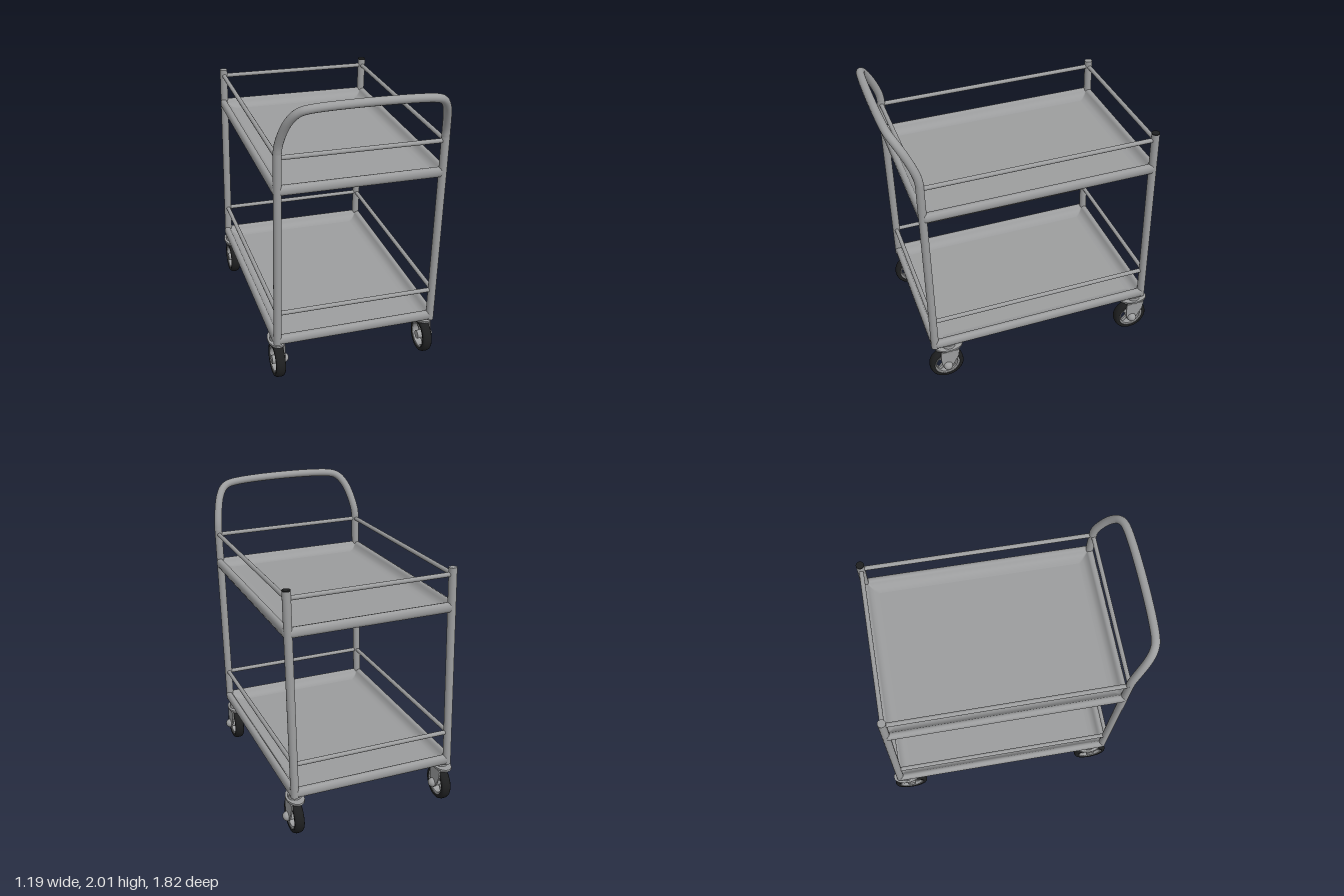
import * as THREE from 'three';

const mat = (name, color, side = THREE.FrontSide) => {
  const m = new THREE.MeshStandardMaterial({ color, side });
  m.name = name;
  return m;
};

export function createModel() {
  const steel = mat('brushed steel', 0x9c9d9e);
  const rubber = mat('black rubber', 0x1e1f20);
  const tan = mat('tan underside', 0x9a8560, THREE.DoubleSide);

  const HX = 0.572, HZ = 0.8;      // half size of a shelf
  const PX = 0.54, PZ = 0.775;     // post centres
  const TOP = 1.085;               // height of upper shelf over lower one
  const cart = new THREE.Group();
  cart.name = 'cart';

  const add = (parent, name, geo, material, x = 0, y = 0, z = 0) => {
    const m = new THREE.Mesh(geo, material);
    m.name = name;
    m.position.set(x, y, z);
    parent.add(m);
    return m;
  };

  // straight round bar between two points
  const bar = (parent, name, a, b, r, sides = 16) => {
    const from = new THREE.Vector3(...a), dir = new THREE.Vector3(...b).sub(from);
    const m = add(parent, name, new THREE.CylinderGeometry(r, r, dir.length(), sides), steel);
    m.position.copy(from).addScaledVector(dir, 0.5);
    m.quaternion.setFromUnitVectors(new THREE.Vector3(0, 1, 0), dir.normalize());
    return m;
  };

  // rounded rectangle outline at a given inset
  const outline = (inset, y) => {
    const pts = [], r = Math.max(0.045 - inset, 0.008);
    const cx = HX - inset - r, cz = HZ - inset - r;
    [[1, 1], [-1, 1], [-1, -1], [1, -1]].forEach(([sx, sz], q) => {
      for (let i = 0; i <= 6; i++) {
        const t = (q + i / 6) * Math.PI / 2;
        pts.push([sx * cx + r * Math.cos(t), y, sz * cz + r * Math.sin(t)]);
      }
    });
    return pts;
  };

  // tray with bullnose rim: [inset, height] sections lofted, then capped
  const trayGeometry = () => {
    const profile = [[0.025, -0.035], [0.008, -0.028], [0, -0.011], [0, 0.011], [0.008, 0.028],
      [0.022, 0.034], [0.038, 0.031], [0.046, 0.016], [0.06, -0.002], [0.08, -0.014], [0.11, -0.018]];
    const loops = profile.map(([d, y]) => outline(d, y));
    const pos = loops.flat(2), idx = [], n = loops[0].length;
    for (let k = 0; k < loops.length - 1; k++) {
      for (let i = 0; i < n; i++) {
        const j = (i + 1) % n, a = k * n + i, b = k * n + j;
        idx.push(a, a + n, b, b, a + n, b + n);
      }
    }
    const cap = (loop, up) => {
      const c = pos.length / 3;
      pos.push(0, loop[0][1], 0, ...loop.flat());
      for (let i = 0; i < n; i++) {
        const a = c + 1 + i, b = c + 1 + (i + 1) % n;
        idx.push(c, up ? b : a, up ? a : b);
      }
    };
    cap(loops[0], false);
    cap(loops[loops.length - 1], true);
    const g = new THREE.BufferGeometry();
    g.setAttribute('position', new THREE.Float32BufferAttribute(pos, 3));
    g.setIndex(idx);
    g.computeVertexNormals();
    return g;
  };

  // shelves with their guard rails
  const tray = trayGeometry();
  [['lowerShelf', 0, 0.205], ['upperShelf', TOP, 0.215]].forEach(([name, y, rail]) => {
    const shelf = new THREE.Group();
    shelf.name = name;
    shelf.position.y = y;
    cart.add(shelf);
    add(shelf, 'tray', tray, steel);
    for (const s of [-1, 1]) {
      bar(shelf, 'sideRail', [s * PX, rail, -PZ], [s * PX, rail, PZ], 0.015, 12);
      bar(shelf, 'endRail', [-PX, rail, s * PZ], [PX, rail, s * PZ], 0.015, 12);
    }
  });

  // narrow tan strip under the upper shelf
  const lens = new THREE.Shape();
  lens.moveTo(-0.28, -0.72);
  lens.quadraticCurveTo(-0.42, 0, -0.22, 0.68);
  lens.quadraticCurveTo(-0.2, 0, -0.28, -0.72);
  add(cart, 'undersideStrip', new THREE.ShapeGeometry(lens), tan, 0, TOP - 0.037, 0)
    .rotation.x = Math.PI / 2;

  // rear posts, one with a dark end cap
  for (const s of [-1, 1]) {
    bar(cart, 'rearPost', [s * PX, -0.03, -PZ], [s * PX, 1.345, -PZ], 0.027);
  }
  add(cart, 'postCap', new THREE.CylinderGeometry(0.027, 0.027, 0.008, 16), rubber, PX, 1.349, -PZ);

  // front posts and the push handle that joins them
  const side = [[PX, 1.33, PZ], [0.536, 1.38, 0.782], [0.517, 1.48, 0.818],
    [0.49, 1.56, 0.857], [0.45, 1.615, 0.89], [0.39, 1.64, 0.91]];
  const path = [...side.map(([x, y, z]) => [-x, y, z]), ...side.reverse()];
  const curve = new THREE.CatmullRomCurve3(path.map(p => new THREE.Vector3(...p)), false, 'centripetal');
  add(cart, 'pushHandle', new THREE.TubeGeometry(curve, 72, 0.027, 16), steel);
  for (const s of [-1, 1]) {
    bar(cart, 'frontPost', [s * PX, -0.03, PZ], [s * PX, 1.335, PZ], 0.027);
  }

  // caster wheel profiles, spun about the axle
  const spin = pts => new THREE.LatheGeometry(pts.map(p => new THREE.Vector2(...p)), 32).rotateZ(Math.PI / 2);
  const tyre = spin([[0.088, -0.03], [0.108, -0.033], [0.117, -0.025], [0.121, -0.01],
    [0.121, 0.01], [0.117, 0.025], [0.108, 0.033], [0.088, 0.03], [0.088, -0.03]]);
  const rim = spin([[0.076, -0.024], [0.09, -0.031], [0.09, 0.031], [0.076, 0.024], [0.076, -0.024]]);
  const axle = new THREE.CylinderGeometry(0.03, 0.03, 0.075, 16).rotateZ(Math.PI / 2);

  // fork arm reaching from the swivel housing to the axle
  const armShape = new THREE.Shape();
  armShape.moveTo(-0.04, 0.125);
  armShape.lineTo(0.09, 0.125);
  armShape.lineTo(0.08, 0.07);
  armShape.lineTo(0.036, -0.01);
  armShape.quadraticCurveTo(0, -0.06, -0.036, -0.01);
  armShape.lineTo(-0.045, 0.07);
  const arm = new THREE.ExtrudeGeometry(armShape, { depth: 0.01, bevelEnabled: false }).rotateY(Math.PI / 2);

  for (const sx of [-1, 1]) for (const sz of [-1, 1]) {
    const caster = new THREE.Group();
    caster.name = 'caster';
    caster.position.set(sx * 0.525, -0.207, sz * 0.702);
    cart.add(caster);
    add(caster, 'tyre', tyre, rubber);
    add(caster, 'rim', rim, steel);
    add(caster, 'axle', axle, steel);
    for (let i = 0; i < 2; i++) {
      add(caster, 'spoke', new THREE.BoxGeometry(0.016, 0.165, 0.022), steel)
        .rotation.x = Math.PI / 4 + i * Math.PI / 2;
    }
    add(caster, 'forkArm', arm, steel, 0.036);
    add(caster, 'axleBolt', new THREE.SphereGeometry(0.032, 16, 12), steel, 0.048);
    add(caster, 'swivelHousing', new THREE.CylinderGeometry(0.066, 0.06, 0.03, 24), steel, 0, 0.128, -0.025)
      .scale.x = 0.8;
    const plate = add(caster, 'mountPlate', new THREE.CylinderGeometry(0.098, 0.098, 0.013, 24), steel, 0, 0.143, -0.025);
    plate.scale.x = 0.6;
    add(caster, 'swivelStem', new THREE.CylinderGeometry(0.045, 0.045, 0.03, 20), steel, 0, 0.16, -0.025);
  }

  // the whole cart leans slightly forward and to one side
  cart.rotation.set(0.027, 0, -0.015);
  cart.position.set(-0.012, 0.355, -0.09);

  const model = new THREE.Group();
  model.name = 'serviceCart';
  model.add(cart);
  return model;
}
